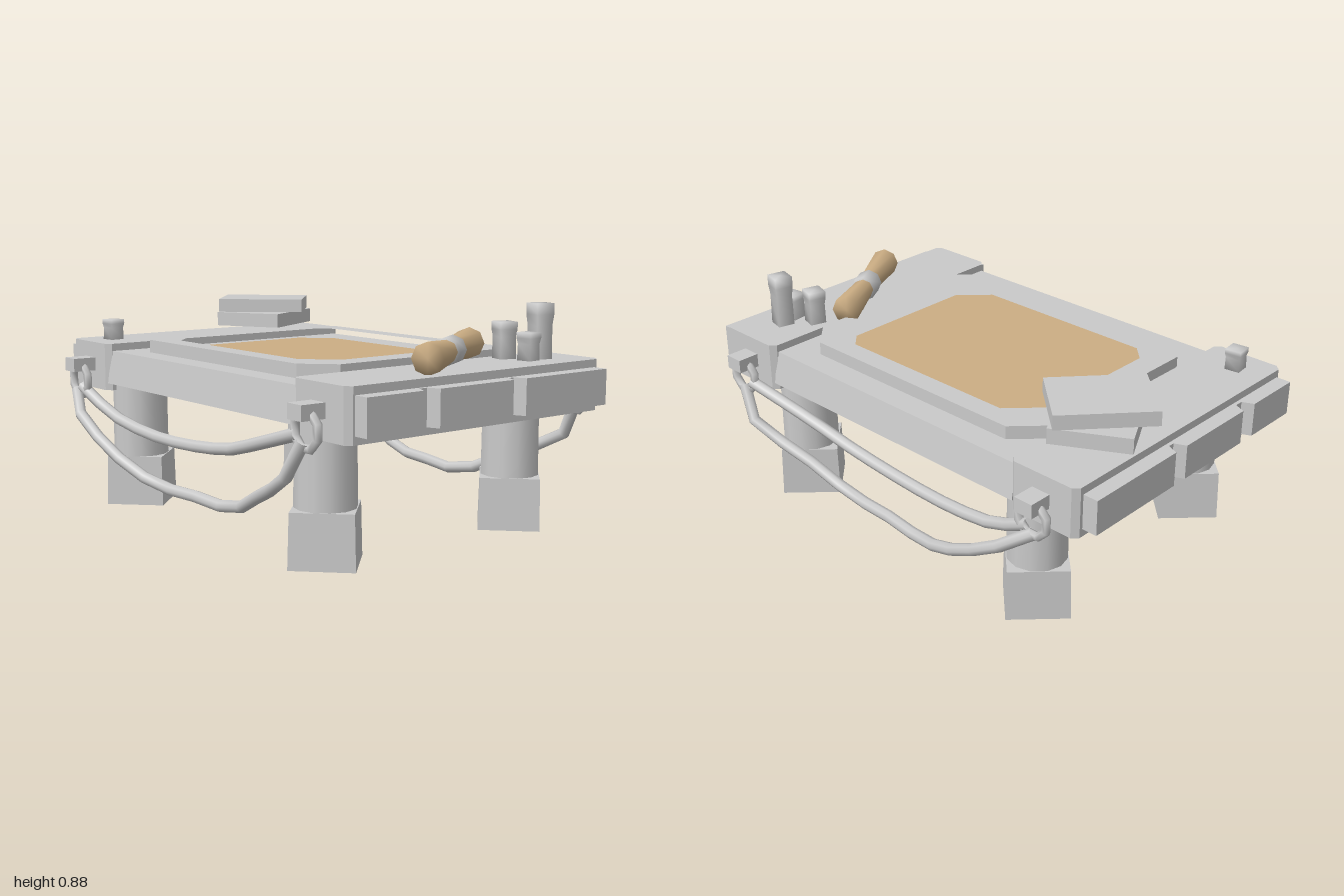
import * as THREE from 'three';
import { mergeVertices } from 'three/addons/utils/BufferGeometryUtils.js';

export function createModel() {
  const model = new THREE.Group();
  const grey = new THREE.MeshStandardMaterial({ color: 0xcacaca });
  grey.name = 'stone grey';
  const tan = new THREE.MeshStandardMaterial({ color: 0xccae84 });
  tan.name = 'parchment tan';

  function add(name, geometry, material, x = 0, y = 0, z = 0, parent = model) {
    const mesh = new THREE.Mesh(geometry, material);
    mesh.name = name;
    mesh.position.set(x, y, z);
    parent.add(mesh);
    return mesh;
  }
  // Plan outline given as [x, z], raised from y0 to y1
  function slab(points, y0, y1, hole) {
    const toV = ([x, z]) => new THREE.Vector2(x, -z);
    const shape = new THREE.Shape(points.map(toV));
    if (hole) shape.holes.push(new THREE.Path(hole.map(toV)));
    const g = new THREE.ExtrudeGeometry(shape, { depth: y1 - y0, bevelEnabled: false });
    return g.rotateX(-Math.PI / 2).translate(0, y0, 0);
  }
  // Rectangle with cut corners
  function octagon(x0, x1, z0, z1, c) {
    return [[x0 + c, z0], [x1 - c, z0], [x1, z0 + c], [x1, z1 - c],
      [x1 - c, z1], [x0 + c, z1], [x0, z1 - c], [x0, z0 + c]];
  }
  // Shared normals across all edges for a soft, worn look
  function soften(g) {
    g.deleteAttribute('normal');
    g.deleteAttribute('uv');
    const merged = mergeVertices(g, 1e-4);
    merged.computeVertexNormals();
    return merged;
  }

  // Table deck: trapezoid section running along x
  const section = new THREE.Shape([[-0.615, 0.51], [0.605, 0.51], [0.585, 0.645], [-0.592, 0.645]]
    .map(([z, y]) => new THREE.Vector2(-z, y)));
  const deck = new THREE.ExtrudeGeometry(section, { depth: 1.3, bevelEnabled: false });
  add('deck', deck.translate(0, 0, -0.65).rotateY(Math.PI / 2), grey);

  // Raised frame and its inlaid panel
  const opening = octagon(-0.515, 0.51, -0.405, 0.4, 0.115);
  add('raisedFrame', slab(octagon(-0.615, 0.61, -0.49, 0.485, 0.11), 0.64, 0.697, opening), grey);
  add('inlaidPanel', slab(opening, 0.646, 0.655), tan);

  // Notched outer edge plates, in plan
  const edge = [[0.9, -0.585], [1, -0.585], [1, -0.155], [0.955, -0.135], [0.955, -0.11], [1, -0.09],
    [1, 0.26], [0.955, 0.28], [0.955, 0.315], [1, 0.335], [1, 0.58], [0.9, 0.58]];

  for (const s of [-1, 1]) {
    const block = octagon(-0.15, 0.15, -0.62, 0.61, 0.022);
    add('endBlock', slab(block, 0.48, 0.675), grey, s * 0.79);
    add('edgePlate', slab(edge.map(([x, z]) => [s * x, z]), 0.51, 0.645), grey);

    for (const t of [-1, 1]) {
      // Leg column on a square foot turned by 45 degrees
      const x = s * 0.635, z = t * 0.46;
      add('leg', new THREE.CylinderGeometry(0.112, 0.115, 0.33, 12), grey, x, 0.355, z);
      const foot = new THREE.CylinderGeometry(0.162, 0.169, 0.205, 4).toNonIndexed();
      foot.computeVertexNormals();
      add('foot', foot, grey, x, 0.1025, z);

      // Peg and hanging ring
      add('ringPeg', new THREE.BoxGeometry(0.078, 0.055, 0.12), grey, s * 0.785, 0.583, t * 0.65);
      const ring = new THREE.TorusGeometry(0.066, 0.017, 6, 8);
      add('ring', ring.rotateZ(Math.PI / 8), grey, s * 0.785, 0.517, t * 0.66);
    }
  }

  // Two sagging ropes on each long side
  const ropes = {
    lowerRope: [[-0.8, 0.47, 0.67], [-0.7, 0.4, 0.715], [-0.6, 0.337, 0.715], [-0.42, 0.235, 0.685],
      [-0.23, 0.158, 0.635], [0, 0.145, 0.6], [0.24, 0.14, 0.585], [0.49, 0.246, 0.63],
      [0.705, 0.345, 0.69], [0.78, 0.48, 0.67]],
    upperRope: [[-0.77, 0.49, 0.66], [-0.58, 0.39, 0.625], [-0.39, 0.345, 0.6], [-0.16, 0.33, 0.585],
      [0.21, 0.358, 0.585], [0.44, 0.417, 0.61], [0.74, 0.5, 0.66]],
  };
  for (const t of [-1, 1]) {
    for (const [name, pts] of Object.entries(ropes)) {
      const curve = new THREE.CatmullRomCurve3(pts.map(([x, y, z]) => new THREE.Vector3(x, y, t * z)));
      add(name, new THREE.TubeGeometry(curve, 12, 0.024, 8), grey);
    }
  }

  // Small square jars: waisted body with a wider lip
  for (const [x, z, h, r, turn] of [[0.795, -0.44, 0.21, 0.053, 0.55], [0.71, -0.338, 0.14, 0.051, 0.5],
    [0.81, -0.365, 0.105, 0.046, 0.9], [-0.81, 0.485, 0.085, 0.047, 0.9]]) {
    const profile = [[0, 0], [r * 0.92, 0], [r * 0.88, h * 0.6], [r, h * 0.8], [r, h], [0, h]]
      .map(([a, b]) => new THREE.Vector2(a, b));
    add('jar', soften(new THREE.LatheGeometry(profile, 4)), grey, x, 0.675, z).rotation.y = turn;
  }

  // Stacked tablets
  add('lowerTablet', new THREE.BoxGeometry(0.3, 0.06, 0.356), grey, -0.745, 0.735, -0.268).rotation.y = 0.5;
  add('upperTablet', new THREE.BoxGeometry(0.374, 0.057, 0.285), grey, -0.747, 0.797, -0.265).rotation.y = 0.835;

  // Rolled scroll: two flared halves held by a band
  const scroll = new THREE.Group();
  scroll.name = 'scroll';
  scroll.position.set(0.744, 0.73, -0.022);
  scroll.rotation.y = 0.537;
  model.add(scroll);
  for (const s of [-1, 1]) {
    const half = new THREE.CylinderGeometry(s > 0 ? 0.06 : 0.04, s > 0 ? 0.04 : 0.06, 0.275, 8);
    add('scrollHalf', soften(half.rotateX(Math.PI / 2)), tan, 0, 0, s * 0.1375, scroll);
  }
  const band = new THREE.CylinderGeometry(0.054, 0.054, 0.085, 8);
  add('scrollBand', soften(band.rotateX(Math.PI / 2)), grey, 0, 0, 0, scroll);

  return model;
}
